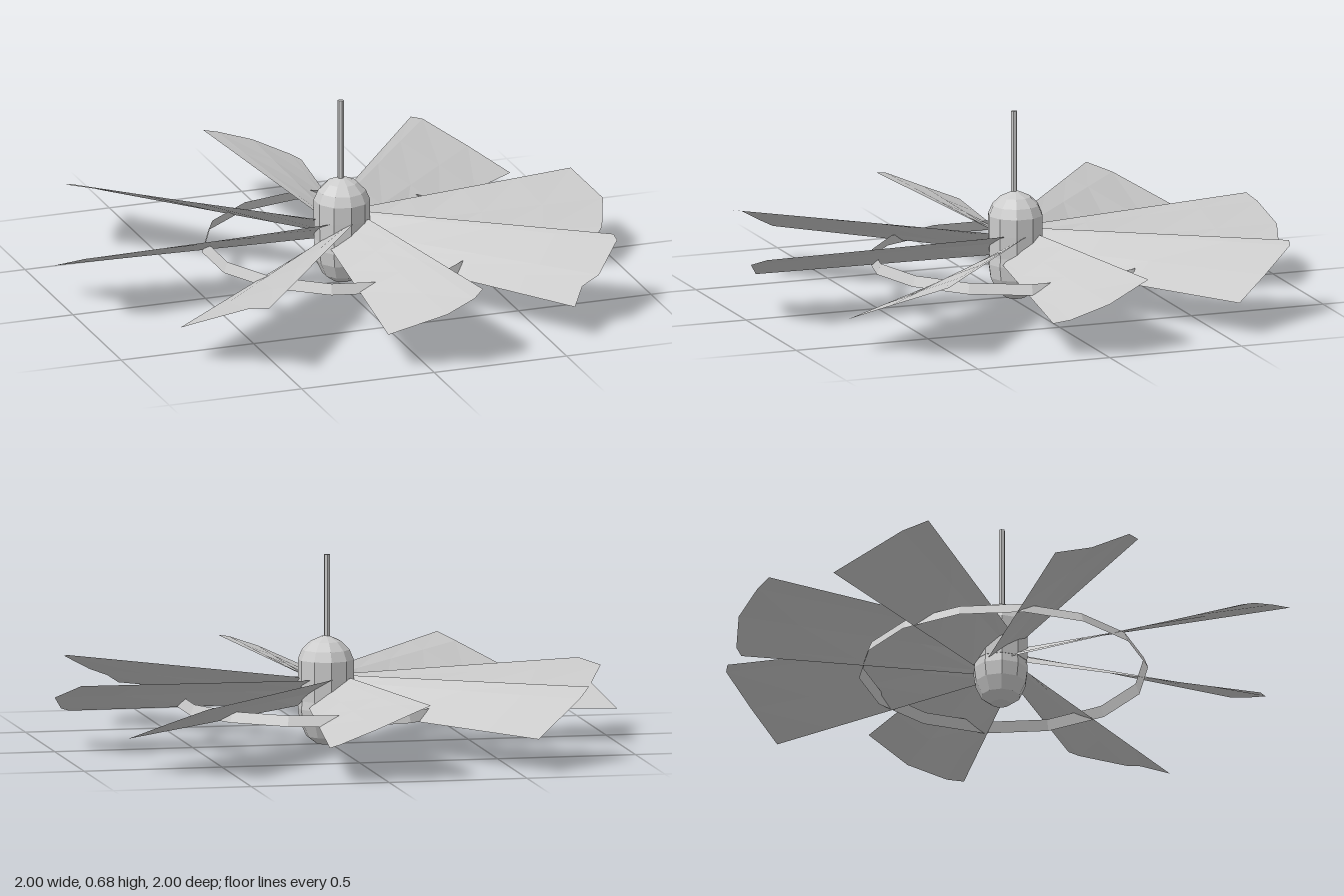
import * as THREE from 'three';

const CX = 0.02, CZ = -0.015; // hub axis

// Worn tip outline [x, z] of every blade, from its high edge to its low edge
const TIPS = [
  [[0.94, -0.17], [1, 0], [0.95, 0.13], [0.91, 0.18]],
  [[0.84, 0.55], [0.84, 0.59], [0.72, 0.73], [0.65, 0.75], [0.59, 0.84]],
  [[0.21, 0.93], [0.16, 0.98], [0.05, 1], [-0.14, 0.91]],
  [[-0.57, 0.86], [-0.62, 0.78], [-0.77, 0.65], [-0.81, 0.59]],
  [[-0.93, 0.15], [-1, 0.09], [-0.94, -0.03], [-1, -0.19]],
  [[-0.81, -0.6], [-0.76, -0.68], [-0.57, -0.87]],
  [[-0.16, -0.96], [-0.1, -0.98], [0.04, -1], [0.17, -0.96], [0.2, -0.93]],
  [[0.58, -0.84], [0.62, -0.83], [0.74, -0.69], [0.85, -0.55]],
];

// Twisted, slightly cambered sheet from the hub out to its tip outline
function bladeGeometry(tip, angle) {
  const rows = 4, n = tip.length, pos = [], index = [];
  const dx = Math.cos(angle), dz = Math.sin(angle);
  for (let r = 0; r <= rows; r++) {
    const f = r / rows;
    for (const [tx, tz] of tip) {
      const side = (tx - CX) * -dz + (tz - CZ) * dx;
      const s = THREE.MathUtils.clamp(side / 0.18, -1, 1);
      const rx = CX + dx * 0.07 - dz * s * 0.075;
      const rz = CZ + dz * 0.07 + dx * s * 0.075;
      const y = 0.192 - s * (0.052 + 0.021 * f) + 0.008 * (1 - s * s);
      pos.push(rx + (tx - rx) * f, y, rz + (tz - rz) * f);
    }
  }
  for (let r = 0; r < rows; r++) {
    for (let k = 0; k < n - 1; k++) {
      const a = r * n + k, b = a + n;
      index.push(a, a + 1, b, a + 1, b + 1, b);
    }
  }
  const g = new THREE.BufferGeometry();
  g.setAttribute('position', new THREE.Float32BufferAttribute(pos, 3));
  g.setIndex(index);
  g.computeVertexNormals();
  return g;
}

export function createModel() {
  const group = new THREE.Group();
  const solid = new THREE.MeshStandardMaterial({ color: 0xcccccc, flatShading: true });
  const sheet = new THREE.MeshStandardMaterial({ color: 0xcccccc, flatShading: true, side: THREE.DoubleSide });

  const add = (name, geometry, material, x, y, z) => {
    const mesh = new THREE.Mesh(geometry, material);
    mesh.name = name;
    mesh.position.set(x, y, z);
    group.add(mesh);
    return mesh;
  };
  const lathe = (points, sides) =>
    new THREE.LatheGeometry(points.map(([r, y]) => new THREE.Vector2(r, y)), sides);

  // Rounded lamp bowl under the motor
  add('lampBowl', lathe([[0, 0], [0.035, 0.004], [0.07, 0.03], [0.093, 0.08], [0.1, 0.13], [0.095, 0.17]], 10), solid, CX, 0, CZ);

  // Motor housing with domed cap
  add('motorHousing', lathe([[0, 0.16], [0.098, 0.16], [0.1, 0.24], [0.1, 0.305], [0.085, 0.34], [0.055, 0.37], [0.015, 0.388], [0, 0.39]], 10), solid, CX, 0, CZ);

  // Hanging rod
  add('hangingRod', new THREE.CylinderGeometry(0.011, 0.011, 0.3, 6), solid, CX - 0.005, 0.53, CZ + 0.003);

  // Eight pitched blades
  TIPS.forEach((tip, i) => add('blade' + (i + 1), bladeGeometry(tip, i * Math.PI / 4), sheet, 0, 0, 0));

  // Thin faceted band tying the blades together
  add('braceRing', lathe([[0.515, 0.132], [0.5, 0.17]], 14), sheet, 0.03, 0, 0);

  return group;
}
